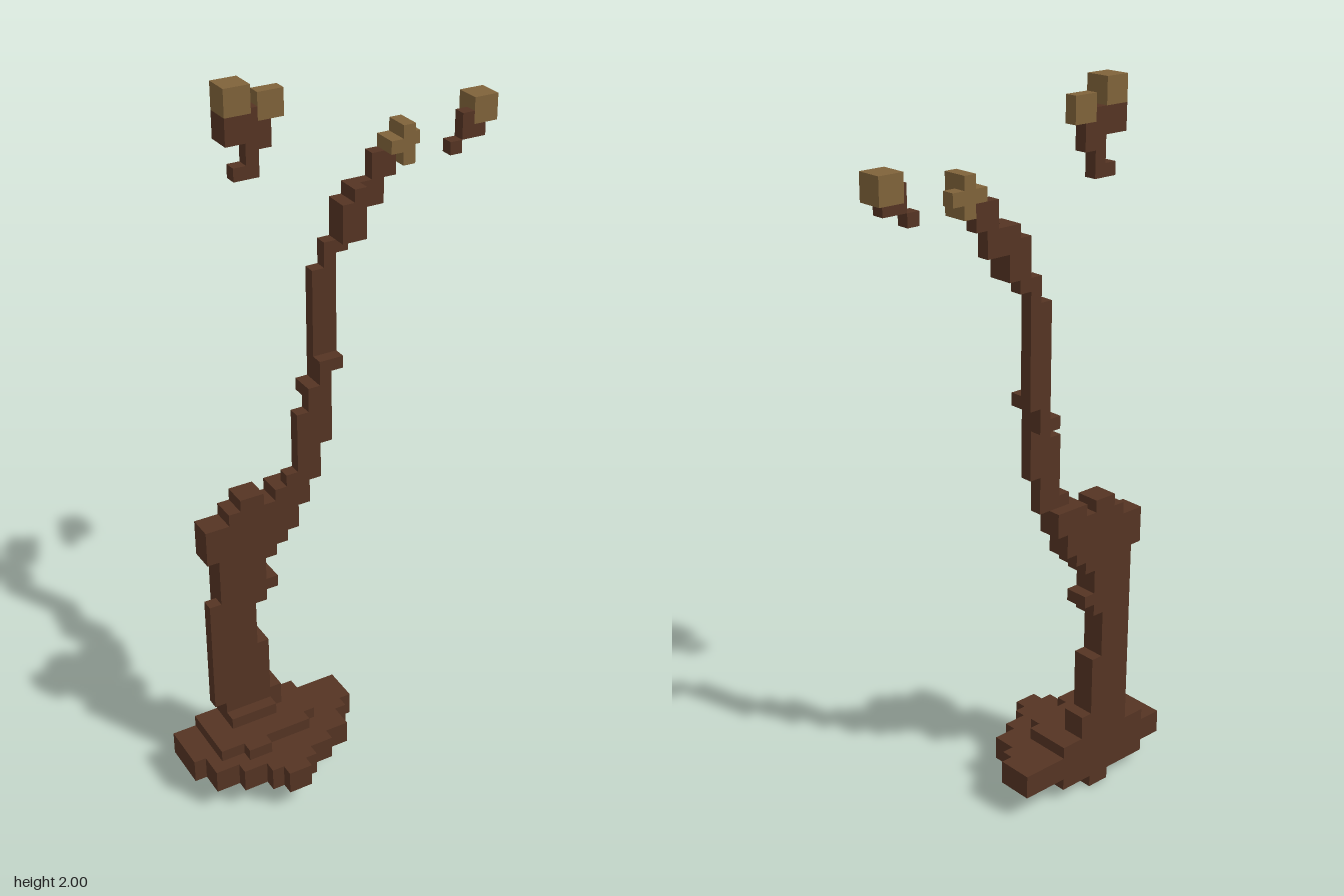
import * as THREE from 'three';
import { mergeGeometries } from 'three/addons/utils/BufferGeometryUtils.js';

const U = 2 / 58; // cube size; the grid is 28 x 58 x 9 cubes

// Each block is [x0, x1, y0, y1, z0, z1] in cubes, z counted from the back
const root = [
  [6, 8, 0, 1, 0, 2],
  [2, 11, 1, 2, 0, 4], [3, 10, 1, 2, 4, 5], [4, 8, 1, 2, 5, 6],
  [0, 15, 2, 4, 0, 3], [0, 14, 2, 4, 3, 4], [1, 13, 2, 4, 4, 6],
  [3, 11, 2, 4, 6, 7], [5, 9, 2, 4, 7, 8], [6, 8, 2, 4, 8, 9],
  [2, 11, 4, 5, 0, 4], [2, 10, 4, 5, 4, 5], [4, 6, 4, 5, 5, 6],
  [4, 9, 5, 6, 0, 2], [4, 8, 5, 6, 2, 3],
];
const trunk = [
  [4, 9, 6, 7, 0, 2], [4, 8, 7, 12, 0, 2], [3, 4, 7, 17, 1, 2],
  [4, 7, 12, 16, 0, 2], [4, 8, 16, 20, 0, 2], [8, 9, 17, 18, 0, 2],
  [4, 9, 20, 21, 0, 2], [3, 10, 21, 22, 0, 2], [3, 11, 22, 24, 0, 2],
  [5, 12, 24, 25, 0, 2], [6, 8, 25, 26, 0, 2], [9, 12, 25, 26, 0, 2],
];
const branch = [
  [10, 13, 26, 27, 1, 2], [11, 13, 27, 29, 1, 2], [11, 14, 29, 32, 1, 2],
  [12, 14, 32, 34, 1, 2], [12, 14, 33, 34, 0, 1], [13, 14, 34, 36, 0, 2],
  [14, 15, 35, 36, 0, 2], [13, 15, 36, 43, 0, 1], [14, 15, 43, 44, 0, 1],
  [14, 16, 44, 45, 0, 1], [15, 17, 45, 48, 0, 2], [16, 17, 48, 49, 0, 2],
  [17, 19, 47, 49, 0, 1], [18, 20, 49, 51, 0, 1],
];
const rightTwig = [
  [7, 9, 51, 52, 0, 1], [8, 9, 52, 54, 0, 1], [8, 10, 53, 55, 0, 1],
  [6, 9, 54, 56, 0, 1], [6, 8, 54, 56, 1, 2],
];
const leftTwig = [[24, 25, 50, 51, 1, 2], [25, 27, 51, 52, 1, 2], [25, 26, 52, 53, 1, 2]];
const branchLeaves = [
  [19, 21, 51, 52, 0, 2], [21, 22, 51, 52, 0, 1],
  [20, 21, 52, 53, 0, 2], [20, 21, 50, 51, 0, 2],
];
const rightLeaves = [[6, 8, 56, 58, 0, 2], [9, 11, 55, 57, 0, 1]];
const leftLeaves = [[26, 28, 52, 54, 0, 2]];

// Face directions: outward step and the turn of a +z plane towards it
const SIDES = [
  [1, 0, 0, 0, Math.PI / 2], [-1, 0, 0, 0, -Math.PI / 2],
  [0, 1, 0, -Math.PI / 2, 0], [0, -1, 0, Math.PI / 2, 0],
  [0, 0, 1, 0, 0], [0, 0, -1, 0, Math.PI],
];

// Fill the blocks with cubes and keep only the outside faces
function cubes(blocks) {
  const cells = new Map();
  for (const [x0, x1, y0, y1, z0, z1] of blocks)
    for (let x = x0; x < x1; x++)
      for (let y = y0; y < y1; y++)
        for (let z = z0; z < z1; z++) cells.set(`${x},${y},${z}`, [x, y, z]);
  const faces = [];
  for (const [x, y, z] of cells.values())
    for (const [dx, dy, dz, rx, ry] of SIDES) {
      if (cells.has(`${x + dx},${y + dy},${z + dz}`)) continue;
      faces.push(new THREE.PlaneGeometry(U, U).rotateX(rx).rotateY(ry).translate(
        (x - 13.5 + dx / 2) * U, (y + 0.5 + dy / 2) * U, (z - 4 + dz / 2) * U));
    }
  return mergeGeometries(faces);
}

export function createModel() {
  const bark = new THREE.MeshStandardMaterial({ name: 'bark', color: 0x553423 });
  const leaf = new THREE.MeshStandardMaterial({ name: 'dryLeaf', color: 0x80633a });
  const model = new THREE.Group();
  model.name = 'bareTree';
  const add = (name, blocks, material) => {
    const mesh = new THREE.Mesh(cubes(blocks), material);
    mesh.name = name;
    model.add(mesh);
  };
  add('rootMound', root, bark);
  add('trunk', trunk, bark);
  add('branch', branch, bark);
  add('rightTwig', rightTwig, bark);
  add('leftTwig', leftTwig, bark);
  add('branchLeaves', branchLeaves, leaf);
  add('rightLeaves', rightLeaves, leaf);
  add('leftLeaves', leftLeaves, leaf);
  return model;
}
